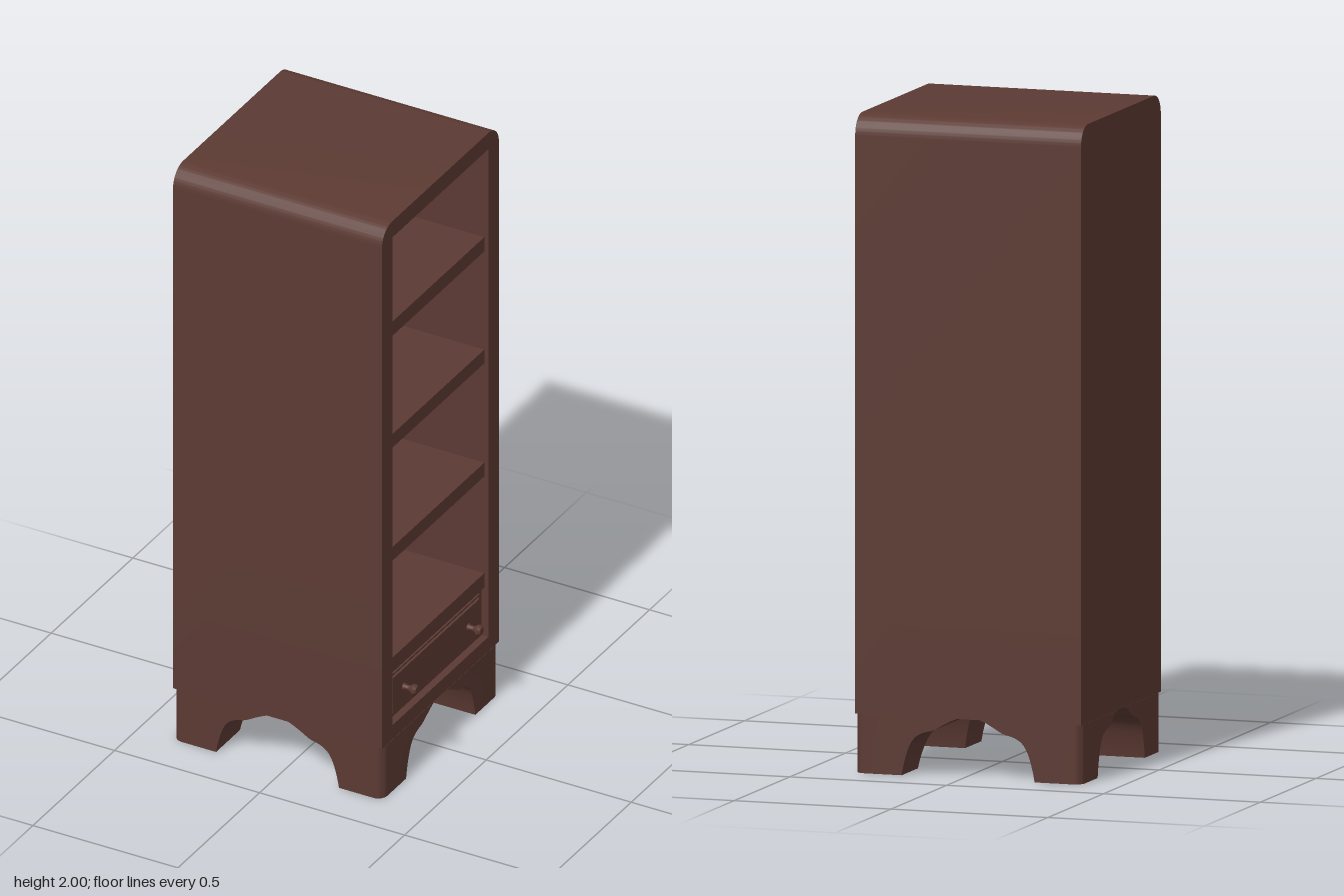
import * as THREE from 'three';
import { toCreasedNormals } from 'three/addons/utils/BufferGeometryUtils.js';

const BACK = -0.378, FRONT = 0.342, MID = -0.018; // the open side faces +x
const HALF = 0.358, INNER = 0.294;

export function createModel() {
  const group = new THREE.Group();
  group.name = 'bookcase';
  const wood = new THREE.MeshStandardMaterial({ color: 0x5c3a33 });
  wood.name = 'dark brown wood';

  const add = (name, geometry, x = 0, y = 0, z = 0) => {
    const mesh = new THREE.Mesh(geometry, wood);
    mesh.name = name;
    mesh.position.set(x, y, z);
    group.add(mesh);
    return mesh;
  };
  // Box spanning x0..x1 and y0..y1, centred on z
  const slab = (name, x0, x1, y0, y1, width, z = 0) =>
    add(name, new THREE.BoxGeometry(x1 - x0, y1 - y0, width), (x0 + x1) / 2, (y0 + y1) / 2, z);

  // Shell: rounded top corners, open towards +x
  const shell = new THREE.Shape();
  const r = 0.062;
  shell.moveTo(-HALF, 0.18);
  shell.lineTo(HALF, 0.18);
  shell.lineTo(HALF, 2 - r);
  shell.absarc(HALF - r, 2 - r, r, 0, Math.PI / 2, false);
  shell.lineTo(-HALF + r, 2);
  shell.absarc(-HALF + r, 2 - r, r, Math.PI / 2, Math.PI, false);
  shell.closePath();
  const opening = new THREE.Path();
  opening.moveTo(-INNER, 0.23);
  opening.lineTo(-INNER, 1.943);
  opening.lineTo(INNER, 1.943);
  opening.lineTo(INNER, 0.23);
  opening.closePath();
  shell.holes.push(opening);
  const shellGeometry = new THREE.ExtrudeGeometry(shell, { depth: FRONT - BACK, bevelEnabled: false, curveSegments: 10 });
  shellGeometry.rotateY(Math.PI / 2);
  add('shell', toCreasedNormals(shellGeometry, 0.6), BACK);

  // Back panel and shelves
  slab('backPanel', BACK, BACK + 0.04, 0.2, 1.96, INNER * 2 + 0.02);
  for (const [y0, y1] of [[0.4, 0.45], [0.79, 0.838], [1.187, 1.235], [1.58, 1.63]]) {
    slab('shelf', BACK + 0.02, 0.328, y0, y1, INNER * 2);
  }

  // Drawer: surround, raised front, thin border and two knobs
  slab('drawerSurround', 0.27, 0.318, 0.23, 0.4, INNER * 2);
  slab('drawerFront', 0.3, 0.328, 0.255, 0.375, 0.53);
  for (const y of [0.247, 0.383]) slab('drawerBorder', 0.3, 0.324, y - 0.003, y + 0.003, 0.55);
  for (const s of [-1, 1]) slab('drawerBorder', 0.3, 0.324, 0.247, 0.383, 0.006, s * 0.272);

  const knobProfile = [[0.013, 0], [0.009, 0.008], [0.008, 0.022], [0.017, 0.037], [0.018, 0.04], [0.012, 0.049], [0, 0.051]]
    .map(([x, y]) => new THREE.Vector2(x, y));
  for (const z of [-0.195, 0.2]) {
    const knob = add('drawerKnob', toCreasedNormals(new THREE.LatheGeometry(knobProfile, 20), 0.6), 0.326, 0.313, z);
    knob.rotation.z = -Math.PI / 2;
  }

  // Feet: four corners left by a curved arch cut in both directions
  for (const sx of [-1, 1]) for (const sz of [-1, 1]) {
    add('foot', footGeometry(sx, sz), MID);
  }
  return group;
}

// Stack of cross-sections whose inner corner follows the arch
function footGeometry(sx, sz) {
  const outer = 0.361, depth = 0.358, r = 0.03;
  const arch = new THREE.SplineCurve([
    [0.212, 0], [0.204, 0.04], [0.19, 0.085], [0.172, 0.115], [0.145, 0.132],
    [0.112, 0.141], [0.085, 0.156], [0.055, 0.172], [0.036, 0.18],
  ].map(([w, y]) => new THREE.Vector2(w, y))).getPoints(20);
  const rings = arch.map(({ x: w, y }) => {
    const ring = [[w, w], [outer, w]];
    for (let i = 0; i <= 6; i++) {
      const a = (i / 6) * Math.PI / 2;
      ring.push([outer - r + r * Math.cos(a), depth - r + r * Math.sin(a)]);
    }
    ring.push([w, depth]);
    return ring.map(([x, z]) => [sx * x, y, sz * z]);
  });
  const positions = [];
  const tri = (a, b, c) => positions.push(...a, ...(sx * sz > 0 ? [...b, ...c] : [...c, ...b]));
  const n = rings[0].length;
  for (let k = 0; k < rings.length - 1; k++) {
    for (let i = 0; i < n; i++) {
      const j = (i + 1) % n, low = rings[k], high = rings[k + 1];
      tri(low[i], high[i], low[j]);
      tri(low[j], high[i], high[j]);
    }
  }
  // Sole and top
  const sole = rings[0], top = rings[rings.length - 1];
  for (let i = 1; i < n - 1; i++) {
    tri(sole[0], sole[i], sole[i + 1]);
    tri(top[0], top[i + 1], top[i]);
  }
  const geometry = new THREE.BufferGeometry();
  geometry.setAttribute('position', new THREE.Float32BufferAttribute(positions, 3));
  return toCreasedNormals(geometry, 0.6);
}
